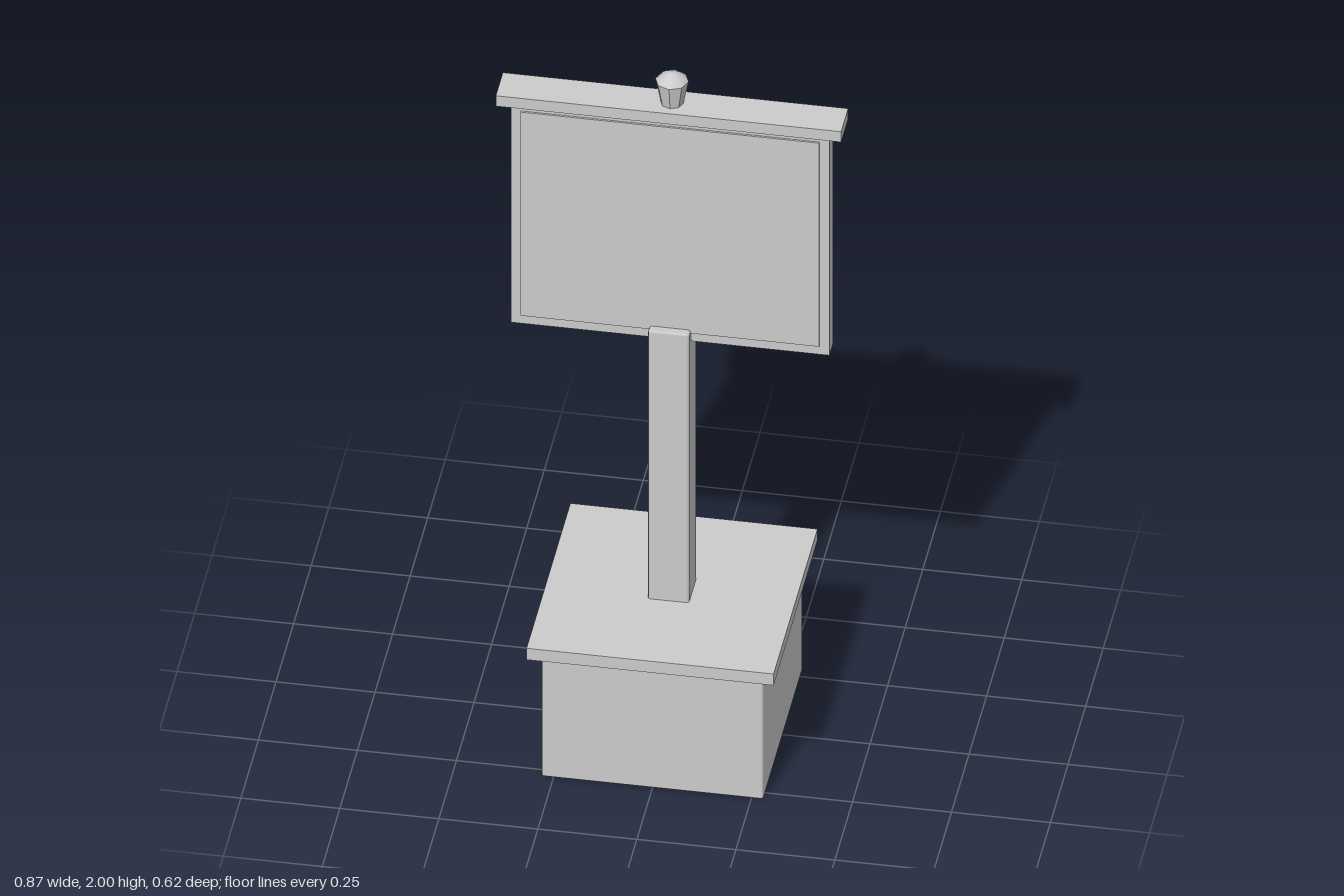
import * as THREE from 'three';
import { RoundedBoxGeometry } from 'three/addons/geometries/RoundedBoxGeometry.js';

export function createModel() {
  const sign = new THREE.Group();
  sign.name = 'signpost';
  const grey = new THREE.MeshStandardMaterial({ color: 0xcccccc });
  grey.name = 'light grey';

  const add = (name, geometry, x = 0, y = 0, z = 0) => {
    const mesh = new THREE.Mesh(geometry, grey);
    mesh.name = name;
    mesh.position.set(x, y, z);
    sign.add(mesh);
  };
  // Box given by width, depth and its bottom and top heights; bevel softens the edges
  const block = (name, w, d, y0, y1, z = 0, bevel = 0) => {
    const h = y1 - y0;
    const geometry = bevel
      ? new RoundedBoxGeometry(w, h, d, 1, bevel)
      : new THREE.BoxGeometry(w, h, d);
    add(name, geometry, 0, (y0 + y1) / 2, z);
  };

  // Pedestal and post
  block('base', 0.56, 0.56, 0, 0.38, 0, 0.006);
  block('baseCap', 0.624, 0.624, 0.378, 0.413);
  block('post', 0.104, 0.104, 0.40, 1.235, 0, 0.006);

  // Sign board with a raised face on both sides
  block('board', 0.804, 0.05, 1.198, 1.88);
  for (const side of [1, -1]) {
    block(side > 0 ? 'frontFace' : 'backFace', 0.754, 0.006, 1.225, 1.85, side * 0.027);
  }
  block('topRail', 0.872, 0.1, 1.875, 1.907);

  // Eight-sided finial: flared faceted cup and shallow domed cap
  const cup = new THREE.CylinderGeometry(0.042, 0.028, 0.072, 8).toNonIndexed();
  cup.computeVertexNormals();
  add('finialCup', cup, 0, 1.939, 0);
  const dome = [[0.042, 1.975], [0.03, 1.986], [0.014, 1.996], [0, 2]];
  add('finialDome', new THREE.LatheGeometry(dome.map(([r, y]) => new THREE.Vector2(r, y)), 8));

  return sign;
}
